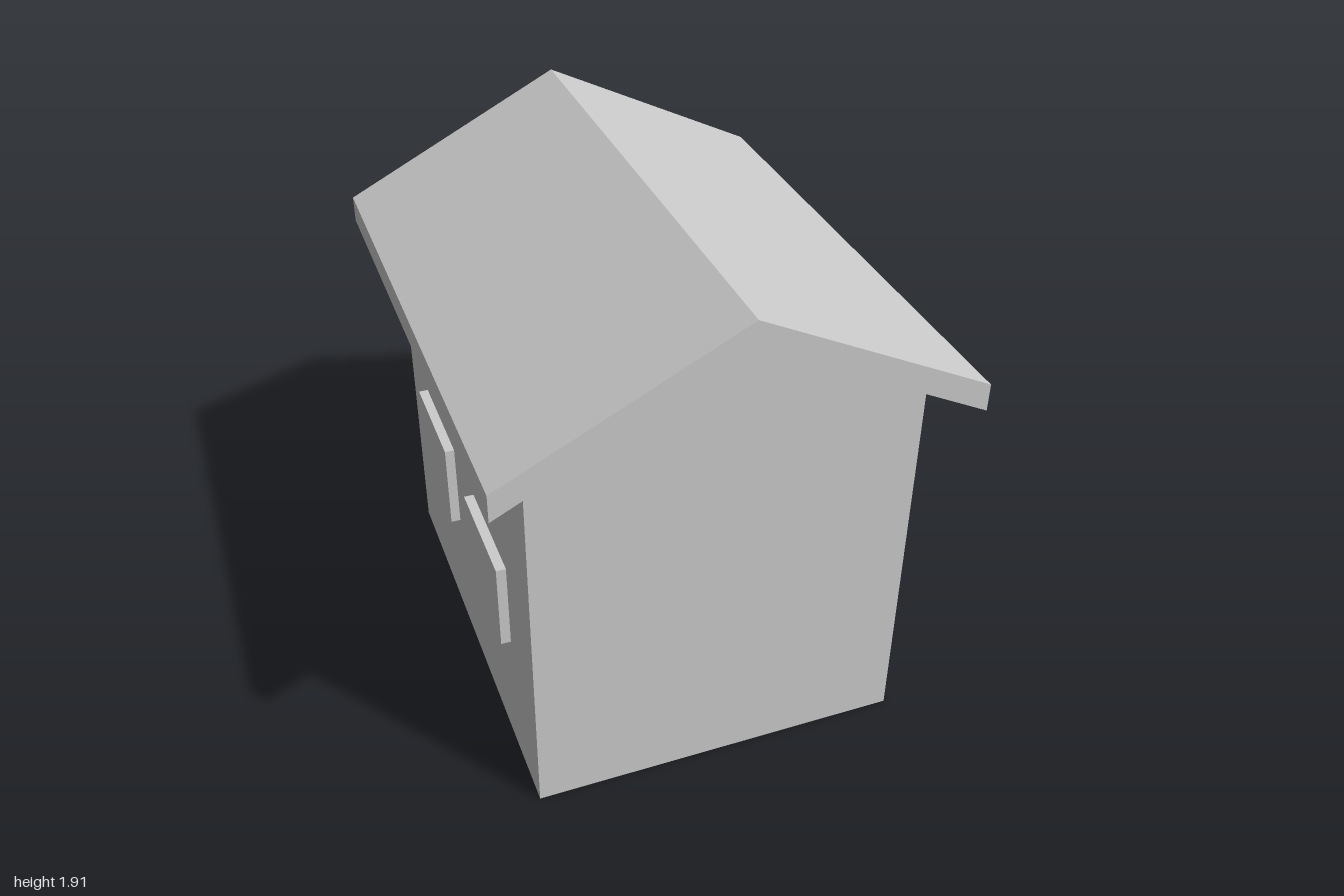
import * as THREE from 'three';
import { toCreasedNormals } from 'three/addons/utils/BufferGeometryUtils.js';

const material = new THREE.MeshStandardMaterial({ color: 0xcccccc, side: THREE.DoubleSide });

const WALL_X = 0.68, WALL_BACK = -0.84, WALL_FRONT = 0.86;
const EAVE_X = 0.82, EAVE_Y = 1.405, RIDGE_UNDER = 1.82;
const WALL_TOP = RIDGE_UNDER - (RIDGE_UNDER - EAVE_Y) * WALL_X / EAVE_X;

const shapeOf = (points) => new THREE.Shape(points.map(([x, y]) => new THREE.Vector2(x, y)));

function add(parent, name, geometry, x = 0, y = 0, z = 0) {
  const mesh = new THREE.Mesh(geometry, material);
  mesh.name = name;
  mesh.position.set(x, y, z);
  parent.add(mesh);
  return mesh;
}

// Extrude an outline from zBack to zFront
function prism(points, zBack, zFront) {
  const geometry = new THREE.ExtrudeGeometry(shapeOf(points), {
    depth: zFront - zBack, bevelEnabled: false,
  });
  return geometry.translate(0, 0, zBack);
}

export function createModel() {
  const house = new THREE.Group();
  house.name = 'house';

  // Thin wall shell, open at the bottom
  const walls = new THREE.Group();
  walls.name = 'walls';
  house.add(walls);
  const gable = new THREE.ShapeGeometry(shapeOf([
    [-WALL_X, 0], [WALL_X, 0], [WALL_X, WALL_TOP], [0, RIDGE_UNDER], [-WALL_X, WALL_TOP],
  ]));
  add(walls, 'frontWall', gable, 0, 0, WALL_FRONT);
  add(walls, 'backWall', gable.clone().scale(-1, 1, 1).rotateY(0), 0, 0, WALL_BACK).geometry =
    gable.clone().rotateY(Math.PI);
  for (const side of [-1, 1]) {
    const plane = new THREE.PlaneGeometry(WALL_FRONT - WALL_BACK, WALL_TOP).rotateY(side * Math.PI / 2);
    add(walls, side > 0 ? 'leftWall' : 'rightWall', plane,
      side * WALL_X, WALL_TOP / 2, (WALL_FRONT + WALL_BACK) / 2);
  }

  // Gabled roof slab with overhang
  add(house, 'roof', prism([
    [-EAVE_X, EAVE_Y], [0, RIDGE_UNDER], [EAVE_X, EAVE_Y],
    [EAVE_X, 1.505], [0, 1.915], [-EAVE_X, 1.505],
  ], -0.98, 1));

  // Two windows set through each side wall
  for (const side of [-1, 1]) {
    for (const z of [0.365, -0.343]) {
      add(house, 'sideWindow', new THREE.BoxGeometry(0.07, 0.335, 0.425), side * WALL_X, 0.672, z);
    }
  }

  // Pointed door surround standing out from the back wall
  const outer = 0.23, inner = 0.19, spring = 0.85;
  const surround = prism([
    [-outer, 0], [-inner, 0], [-inner, spring], [0, spring + inner], [inner, spring], [inner, 0],
    [outer, 0], [outer, spring], [0, spring + outer], [-outer, spring],
  ], -1, WALL_BACK);
  add(house, 'doorSurround', toCreasedNormals(surround, 0.9));

  // Diamond attic window
  const diamond = new THREE.CylinderGeometry(0.16, 0.16, 0.07, 4).rotateX(Math.PI / 2);
  add(house, 'atticWindow', diamond, 0, 1.36, WALL_BACK);

  return house;
}
